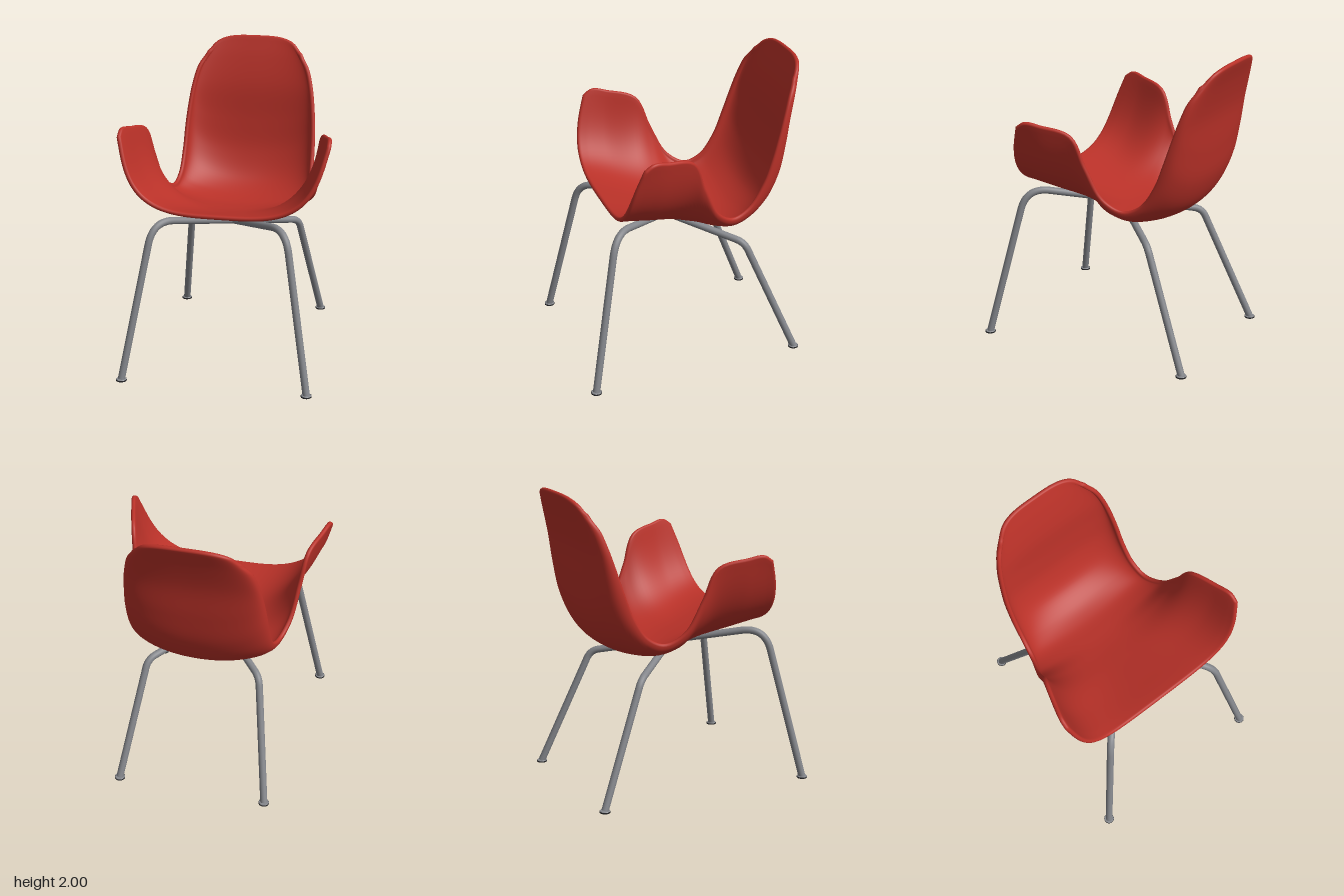
import * as THREE from 'three';

const V = (x, y, z) => new THREE.Vector3(x, y, z);
const mat = (name, color) => {
  const m = new THREE.MeshStandardMaterial({ color });
  m.name = name;
  return m;
};

// Shell ribs from front lip to top of back:
// centre y, centre z, rim x, rim y, rim z, squareness, outward lean, depth power
const RIBS = [
  [1.068, 0.513, 0.69, 1.55, 0.42, 3.5, 0.12, 2],
  [1.055, 0.46, 0.688, 1.583, 0.365, 3.4, 0.12, 1.8],
  [1.015, 0.32, 0.663, 1.569, 0.27, 3.0, 0.11, 1.5],
  [0.965, 0.14, 0.607, 1.52, 0.09, 2.6, 0.09, 1.2],
  [0.925, -0.02, 0.575, 1.33, 0.01, 2.3, 0.06, 1],
  [0.908, -0.13, 0.54, 1.115, -0.10, 2.1, 0.03, 1],
  [0.90, -0.27, 0.495, 1.035, -0.235, 2, 0, 1],
  [0.93, -0.40, 0.475, 1.085, -0.355, 2, 0, 1],
  [1.02, -0.53, 0.468, 1.23, -0.455, 2.1, 0, 1],
  [1.20, -0.62, 0.462, 1.40, -0.52, 2.3, 0, 1],
  [1.42, -0.66, 0.448, 1.55, -0.568, 2.4, 0, 1],
  [1.66, -0.686, 0.427, 1.685, -0.61, 2.6, 0, 1],
  [1.85, -0.735, 0.392, 1.805, -0.655, 3, 0.04, 1],
  [1.985, -0.783, 0.335, 1.89, -0.705, 3.5, 0.09, 1],
];

function shellGeometry() {
  const R = 78, C = 56, thick = 0.03, arcSteps = 6;
  const curve = (f) => new THREE.CatmullRomCurve3(RIBS.map(f));
  const centre = curve((r) => V(0, r[0], r[1]));
  const rim = curve((r) => V(r[2], r[3], r[4]));
  const form = curve((r) => V(r[5], r[6], r[7]));

  // Outer skin: a superelliptic cross-section at every row
  const outer = [];
  for (let i = 0; i <= R; i++) {
    const t = i / R, c = centre.getPoint(t), e = rim.getPoint(t), f = form.getPoint(t);
    const section = [];
    for (let k = -16; k <= 16; k++) {
      const a = Math.abs(k) / 16 * Math.PI / 2;
      const h = 1 - Math.pow(Math.max(0, Math.cos(a)), 2 / f.x);
      const x = (e.x - f.y) * Math.pow(Math.sin(a), 2 / f.x) + f.y * h;
      section.push(V(Math.sign(k) * x, c.y + (e.y - c.y) * h, c.z + (e.z - c.z) * Math.pow(h, f.z)));
    }
    outer.push(...new THREE.CatmullRomCurve3(section).getSpacedPoints(C));
  }
  const id = (i, j) => i * (C + 1) + j;
  const index = [];
  for (let i = 0; i < R; i++) for (let j = 0; j < C; j++) {
    const a = id(i, j), b = id(i + 1, j), c = id(i, j + 1), d = id(i + 1, j + 1);
    index.push(a, b, c, c, b, d);
  }
  const skin = new THREE.BufferGeometry().setFromPoints(outer);
  skin.setIndex(index);
  skin.computeVertexNormals();
  const normals = outer.map((_, k) => new THREE.Vector3().fromBufferAttribute(skin.attributes.normal, k));

  // Inner skin: offset by the thickness, facing the other way
  const n = outer.length;
  const points = [...outer, ...outer.map((p, k) => p.clone().addScaledVector(normals[k], -thick))];
  const faces = [...index];
  for (let k = 0; k < index.length; k += 3) faces.push(index[k] + n, index[k + 2] + n, index[k + 1] + n);

  // Half-round rim joining the two skins
  const loop = [];
  for (let i = 0; i < R; i++) loop.push(id(i, 0));
  for (let j = 0; j < C; j++) loop.push(id(R, j));
  for (let i = R; i > 0; i--) loop.push(id(i, C));
  for (let j = C; j > 0; j--) loop.push(id(0, j));
  const L = loop.length;
  const rings = loop.map((k, q) => {
    const along = outer[loop[(q + 1) % L]].clone().sub(outer[loop[(q + L - 1) % L]]);
    const out = along.cross(normals[k]).normalize();
    const mid = outer[k].clone().addScaledVector(normals[k], -thick / 2);
    const ring = [k];
    for (let s = 1; s < arcSteps; s++) {
      const a = s / arcSteps * Math.PI;
      ring.push(points.length);
      points.push(mid.clone().addScaledVector(normals[k], Math.cos(a) * thick / 2)
        .addScaledVector(out, Math.sin(a) * thick / 2));
    }
    return [...ring, k + n];
  });
  rings.forEach((ring, q) => {
    const next = rings[(q + 1) % L];
    for (let s = 0; s < arcSteps; s++) {
      faces.push(ring[s], ring[s + 1], next[s], next[s], ring[s + 1], next[s + 1]);
    }
  });
  const geo = new THREE.BufferGeometry().setFromPoints(points);
  geo.setIndex(faces);
  geo.computeVertexNormals();
  return geo;
}

// Polyline with each inner corner rounded by its own distance
function roundedPath(pts, cuts) {
  const path = new THREE.CurvePath();
  let from = pts[0];
  for (let i = 1; i < pts.length - 1; i++) {
    const toward = (p) => pts[i].clone().add(p.clone().sub(pts[i]).setLength(cuts[i - 1]));
    const a = toward(pts[i - 1]), b = toward(pts[i + 1]);
    path.add(new THREE.LineCurve3(from, a));
    path.add(new THREE.QuadraticBezierCurve3(a, pts[i], b));
    from = b;
  }
  path.add(new THREE.LineCurve3(from, pts[pts.length - 1]));
  return path;
}

export function createModel() {
  const red = mat('red shell', 0xb93128);
  const steel = mat('grey steel', 0x85878c);
  const black = mat('black rubber', 0x262628);
  const group = new THREE.Group();
  group.name = 'armchair';
  const add = (name, geo, material, x = 0, y = 0, z = 0) => {
    const mesh = new THREE.Mesh(geo, material);
    mesh.name = name;
    mesh.position.set(x, y, z);
    group.add(mesh);
    return mesh;
  };
  // Steel flange on a black pad
  const addFoot = (name, x, z) => {
    add(name + 'Pad', new THREE.CylinderGeometry(0.035, 0.035, 0.009, 28), black, x, 0.0045, z);
    add(name + 'Flange', new THREE.CylinderGeometry(0.031, 0.034, 0.004, 28), steel, x, 0.011, z);
  };

  add('seatShell', shellGeometry(), red);

  // Two bent tubes crossing under the seat, each a front leg and the opposite back leg
  for (const s of [1, -1]) {
    const side = s > 0 ? 'Left' : 'Right', other = s > 0 ? 'Right' : 'Left';
    const path = roundedPath([
      V(0.61 * s, 0.01, 0.755), V(0.43 * s, 1.045, 0.545),
      V(-0.38 * s, 0.80, -0.355), V(-0.505 * s, 0.01, -0.685),
    ], [0.16, 0.06]);
    add('legTubeFront' + side, new THREE.TubeGeometry(path, 160, 0.024, 16), steel);
    addFoot('footFront' + side, 0.61 * s, 0.755);
    addFoot('footBack' + other, -0.505 * s, -0.685);
  }

  // Mounting disc between the crossing and the shell
  const mount = add('seatMount', new THREE.CylinderGeometry(0.085, 0.08, 0.022, 32), black, 0, 0.942, 0.072);
  mount.rotation.x = -0.25;
  return group;
}
